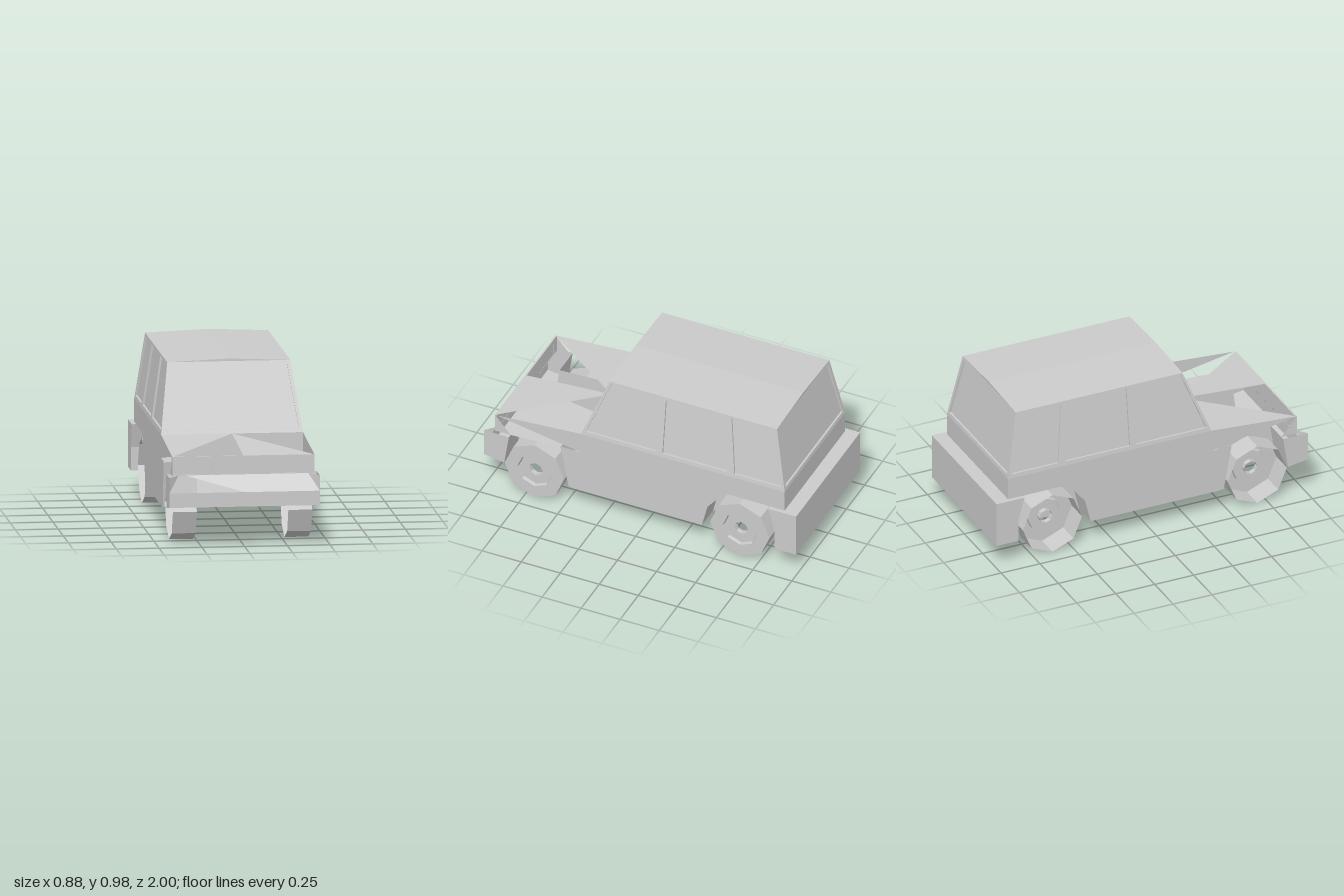
import * as THREE from 'three';

const mat = new THREE.MeshStandardMaterial({ color: 0xcccccc, flatShading: true, side: THREE.DoubleSide });

function add(parent, name, geo) {
  const mesh = new THREE.Mesh(geo, mat);
  mesh.name = name;
  parent.add(mesh);
  return mesh;
}

// Flat convex faces, each a loop of corners
function sheets(parent, name, faces) {
  const pos = [];
  for (const f of faces)
    for (let i = 1; i < f.length - 1; i++) pos.push(...f[0], ...f[i], ...f[i + 1]);
  const geo = new THREE.BufferGeometry();
  geo.setAttribute('position', new THREE.Float32BufferAttribute(pos, 3));
  geo.computeVertexNormals();
  return add(parent, name, geo);
}

const toShape = pts => new THREE.Shape(pts.map(p => new THREE.Vector2(...p)));

// Moves a flat shape into space; place(u, v, depth) gives the point
function bend(geo, place) {
  const p = geo.attributes.position;
  for (let i = 0; i < p.count; i++) p.setXYZ(i, ...place(p.getX(i), p.getY(i), p.getZ(i)));
  geo.computeVertexNormals();
  return geo;
}

// Frame with openings and a recessed pane in each
function windowWall(parent, name, outline, panes, place) {
  const depth = 0.015;
  const shape = toShape(outline);
  shape.holes = panes.map(toShape);
  add(parent, name + 'Frame', bend(new THREE.ExtrudeGeometry(shape, { depth, bevelEnabled: false }), place));
  for (const pane of panes)
    add(parent, name + 'Glass', bend(new THREE.ShapeGeometry(toShape(pane)), (u, v) => place(u, v, depth * 0.8)));
}

// Strip between x0 and x1 along a (z, y) path
const strip = (path, x0, x1) => path.slice(1).map(([z, y], i) => {
  const [pz, py] = path[i];
  return [[x0, py, pz], [x1, py, pz], [x1, y, z], [x0, y, z]];
});
const atX = (path, x) => path.map(([z, y]) => [x, y, z]);

const W = 0.415, BW = 0.44, INNER = 0.26;
const rearArch = [[-0.385, 0.15], [-0.42, 0.295], [-0.53, 0.43], [-0.82, 0.43], [-0.86, 0.29], [-0.86, 0.15]];
const frontArch = [[0.47, 0.155], [0.52, 0.425], [0.84, 0.41], [0.87, 0.215]];

function buildCabin(car) {
  const cabin = new THREE.Group();
  cabin.name = 'cabin';
  car.add(cabin);

  const side = [[0.39, 0.565], [0.23, 0.965], [-0.84, 0.965], [-0.915, 0.565]];
  const sidePanes = [
    [[0.36, 0.59], [0.22, 0.95], [-0.09, 0.95], [-0.09, 0.59]],
    [[-0.13, 0.59], [-0.13, 0.95], [-0.51, 0.95], [-0.545, 0.59]],
    [[-0.59, 0.59], [-0.55, 0.95], [-0.825, 0.95], [-0.89, 0.59]],
  ];
  for (const s of [1, -1])
    windowWall(cabin, s > 0 ? 'leftWindow' : 'rightWindow', side, sidePanes,
      (z, y, d) => [s * (W - (y - 0.565) * 0.1375 - d), y, z]);

  const end = [[-W, 0.565], [-0.36, 0.965], [0, 0.98], [0.36, 0.965], [W, 0.565]];
  const endPane = [[-0.393, 0.587], [-0.34, 0.947], [0, 0.962], [0.34, 0.947], [0.393, 0.587]];
  const rise = y => Math.min(y, 0.965) - 0.565;
  windowWall(cabin, 'windshield', end, [endPane], (x, y, d) => [x, y, 0.39 - rise(y) * 0.4 - d]);
  windowWall(cabin, 'rearWindow', end, [endPane], (x, y, d) => [x, y, -0.915 + rise(y) * 0.1875 + d]);

  sheets(cabin, 'roof', [1, -1].map(s =>
    [[0, 0.98, 0.23], [s * 0.36, 0.965, 0.23], [s * 0.36, 0.965, -0.84], [0, 0.98, -0.84]]));
}

function buildBody(car) {
  const body = new THREE.Group();
  body.name = 'body';
  car.add(body);

  const lower = [[0.39, 0.565], [0.39, 0.43], [0.52, 0.43], [0.47, 0.155], [0.44, 0.15],
    ...rearArch.slice(0, 4), [-0.915, 0.43], [-0.915, 0.565]];
  for (const s of [1, -1]) {
    const x = s * W, inner = s * INNER, out = s * BW;
    add(body, 'lowerSide', bend(new THREE.ShapeGeometry(toShape(lower)), (z, y) => [x, y, z]));
    sheets(body, 'fenderSide', [
      atX([[0.39, 0.565], [0.93, 0.525], [0.39, 0.43]], x),
      atX([[0.94, 0.525], [0.94, 0.41], [0.84, 0.41]], x),
    ]);
    sheets(body, 'rearWheelWell', [...strip(rearArch, inner, x), atX(rearArch, inner)]);
    // The right front well has no roof
    const wellStrips = strip(frontArch, inner, x).filter((f, i) => s > 0 || i !== 1);
    sheets(body, 'frontWheelWell', [...wellStrips, atX(frontArch, inner)]);
    sheets(body, 'frontBumperEnd', [
      atX([[1, 0.41], [1, 0.235], [0.87, 0.215], [0.84, 0.41]], out),
      ...strip([[0.84, 0.41], [0.87, 0.215]], x, out),
    ]);
    sheets(body, 'rearBumperEnd', [
      atX([[-0.86, 0.29], [-0.82, 0.43], [-1, 0.43], [-1, 0.15], [-0.86, 0.15]], out),
      ...strip([[-0.86, 0.15], [-0.86, 0.29], [-0.82, 0.43], [-0.915, 0.43]], x, out),
    ]);
  }

  sheets(body, 'floor', [
    ...strip([[1, 0.235], [0.87, 0.215]], -BW, BW),
    ...strip([[0.87, 0.215], [0.47, 0.155]], -INNER, INNER),
    ...strip([[0.47, 0.155], [0.44, 0.15], [-0.385, 0.15]], -W, W),
    ...strip([[-0.385, 0.15], [-0.86, 0.15]], -INNER, INNER),
    ...strip([[-0.86, 0.15], [-1, 0.15]], -BW, BW),
  ]);
  sheets(body, 'tailgate', strip([[-0.915, 0.565], [-0.915, 0.43]], -W, W));
  sheets(body, 'rearBumper', strip([[-0.915, 0.43], [-1, 0.43], [-1, 0.15]], -BW, BW));
  sheets(body, 'firewall', strip([[0.39, 0.565], [0.39, 0.43]], -W, W));

  // Hood of two opposite wedges, open between them
  sheets(body, 'hood', [
    [[-W, 0.565, 0.39], [-W, 0.525, 0.94], [0, 0.565, 0.39]],
    [[0, 0.565, 0.39], [0, 0.525, 0.94], [W, 0.525, 0.94]],
  ]);

  // Front bumper strip with the sloped pieces up to the grille
  sheets(body, 'frontBumper', [
    ...strip([[1, 0.32], [1, 0.235]], -BW, BW),
    [[0, 0.32, 1], [0.38, 0.415, 0.94], [-0.34, 0.415, 0.94]],
    [[0, 0.32, 1], [BW, 0.32, 1], [0.38, 0.415, 0.94]],
    [[BW, 0.32, 1], [BW, 0.41, 1], [0.38, 0.415, 0.94]],
    [[-BW, 0.32, 1], [-BW, 0.41, 1], [-0.38, 0.415, 0.94]],
  ]);
  const lamp = s => [[s * 0.375, 0.418], [s * 0.375, 0.49], [s * 0.187, 0.49], [s * 0.172, 0.418]];
  windowWall(body, 'grille', [[-W, 0.415], [-W, 0.525], [W, 0.525], [W, 0.415]],
    [lamp(-1), lamp(1)], (x, y, d) => [x, y, 0.94 - d * 0.6]);
}

function buildWheels(car) {
  // Tread, side wall, recessed rim and open hub; all four face the same way
  const profile = [[0.19, -0.07], [0.19, 0.07], [0.11, 0.07], [0.105, 0.05], [0.042, 0.05], [0.042, 0.02]]
    .map(p => new THREE.Vector2(...p));
  const geo = new THREE.LatheGeometry(profile, 8).rotateZ(-Math.PI / 2);
  for (const z of [0.69, -0.625])
    for (const x of [0.34, -0.335])
      add(car, z > 0 ? 'frontWheel' : 'rearWheel', geo).position.set(x, 0.19, z);
}

export function createModel() {
  const car = new THREE.Group();
  car.name = 'offRoadCar';
  buildCabin(car);
  buildBody(car);
  buildWheels(car);
  return car;
}
